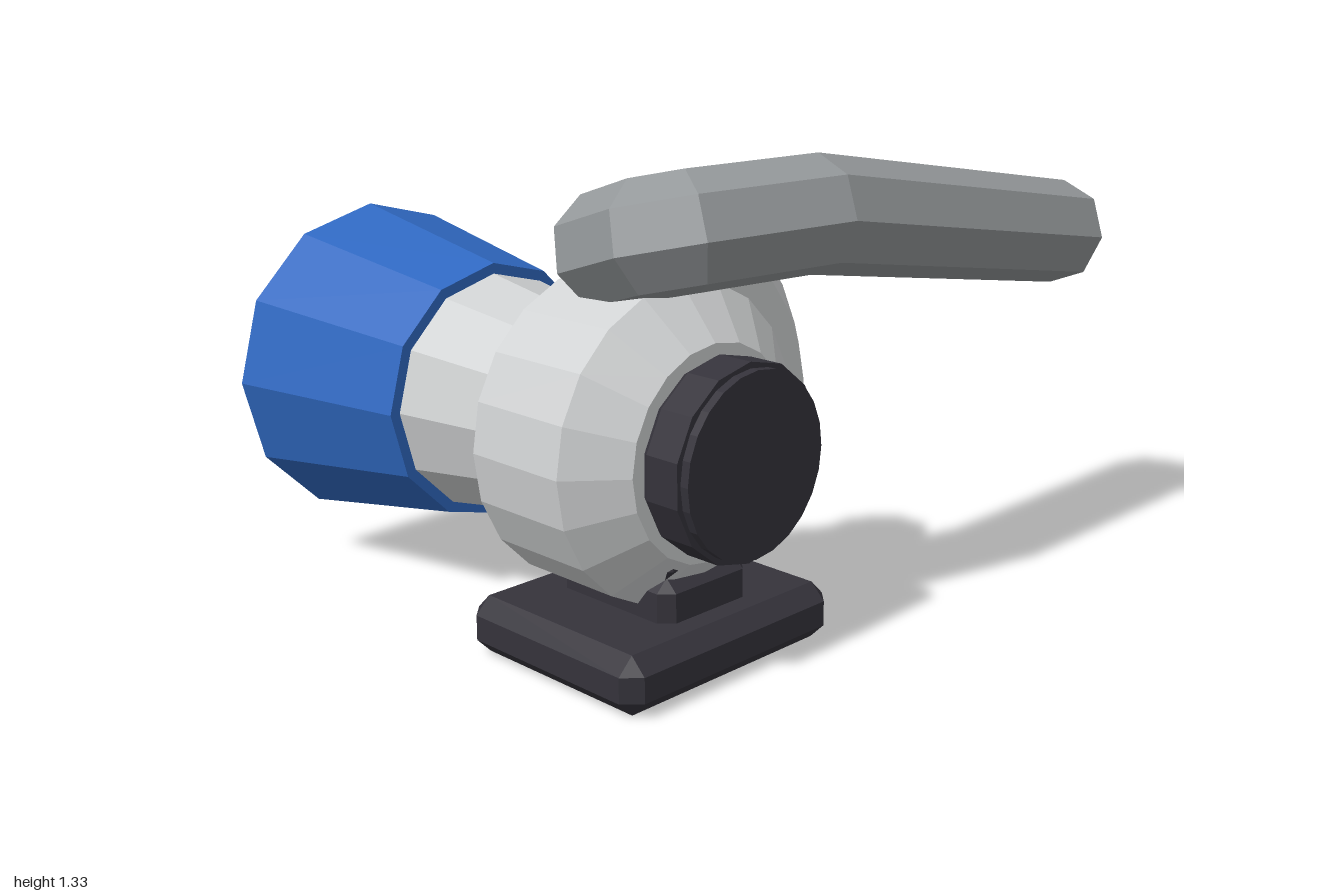
import * as THREE from 'three';
import { ConvexGeometry } from 'three/addons/geometries/ConvexGeometry.js';

const AXIS_X = -0.52, AXIS_Y = 0.59;

function material(name, color) {
  const m = new THREE.MeshStandardMaterial({ color, flatShading: true });
  m.name = name;
  return m;
}

// Turned part along z; profile is [radius, z] pairs from back to front
function turned(profile, sides) {
  const points = profile.map(([r, z]) => new THREE.Vector2(r, z));
  return new THREE.LatheGeometry(points, sides)
    .rotateX(Math.PI / 2)
    .translate(AXIS_X, AXIS_Y, 0);
}

// Box with every edge chamfered
function chamferBox(min, max, c) {
  const points = [];
  for (const x of [0, 1]) for (const y of [0, 1]) for (const z of [0, 1]) {
    const side = [x, y, z];
    for (let full = 0; full < 3; full++) {
      const p = side.map((s, i) => {
        const inset = i === full ? 0 : c;
        return s ? max[i] - inset : min[i] + inset;
      });
      points.push(new THREE.Vector3(...p));
    }
  }
  return new ConvexGeometry(points);
}

// Octagonal tube along a polyline, with mitred joints and closed ends
function mitredTube(path, radius, up, phase) {
  const n = 8, last = path.length - 1;
  const dirs = path.slice(1).map((p, i) => p.clone().sub(path[i]).normalize());
  const u = up.clone().cross(dirs[0]).normalize();
  const v = dirs[0].clone().cross(u);
  let ring = [];
  for (let i = 0; i < n; i++) {
    const a = phase + i / n * Math.PI * 2;
    ring.push(path[0].clone()
      .addScaledVector(u, Math.cos(a) * radius)
      .addScaledVector(v, Math.sin(a) * radius));
  }
  const rings = [ring];
  for (let k = 0; k < last; k++) {
    const d = dirs[k], normal = d.clone().add(dirs[Math.min(k + 1, last - 1)]).normalize();
    ring = ring.map(p => {
      const t = path[k + 1].clone().sub(p).dot(normal) / d.dot(normal);
      return p.clone().addScaledVector(d, t);
    });
    rings.push(ring);
  }
  const pos = [], index = [];
  rings.forEach(r => r.forEach(p => pos.push(p.x, p.y, p.z)));
  for (let k = 0; k < last; k++) for (let i = 0; i < n; i++) {
    const a = k * n + i, b = k * n + (i + 1) % n;
    index.push(a, b, b + n, a, b + n, a + n);
  }
  const e = last * n;
  for (let i = 1; i < n - 1; i++) {
    index.push(0, i + 1, i);
    index.push(e, e + i, e + i + 1);
  }
  const g = new THREE.BufferGeometry();
  g.setAttribute('position', new THREE.Float32BufferAttribute(pos, 3));
  g.setIndex(index);
  g.computeVertexNormals();
  return g;
}

export function createModel() {
  const group = new THREE.Group();
  const lightGrey = material('light metal', 0xd0d2d3);
  const grey = material('pipe metal', 0x94989a);
  const blue = material('blue', 0x3069c2);
  const dark = material('dark metal', 0x35333b);

  const add = (name, geometry, mat) => {
    const mesh = new THREE.Mesh(geometry, mat);
    mesh.name = name;
    group.add(mesh);
  };

  // Intake cone and its neck
  add('intakeFilter', turned([[0, -0.83], [0.48, -0.83], [0.375, -0.24], [0, -0.24]], 12), blue);
  add('intakeNeck', turned([[0, -0.245], [0.345, -0.245], [0.29, 0.085], [0, 0.085]], 12), lightGrey);

  // Compressor housing
  add('housing', turned([
    [0, 0.08], [0.3, 0.08], [0.43, 0.19], [0.43, 0.51], [0.29, 0.63], [0, 0.63],
  ], 20), lightGrey);

  // Scroll swept around the housing, widening slightly toward the top
  const scroll = [];
  for (let i = 0; i <= 9; i++) {
    const a = THREE.MathUtils.degToRad(-15 + i * 12.3);
    const r = 0.43 + 0.052 * i / 9;
    scroll.push(new THREE.Vector3(AXIS_X + r * Math.cos(a), AXIS_Y + r * Math.sin(a), 0.347));
  }
  add('scroll', mitredTube(scroll, 0.163, new THREE.Vector3(0, 0, 1), Math.PI / 8), lightGrey);

  // Outlet pipe, from its free end back to the scroll
  const pipe = [
    [0.972, 0.982, 0.667], [-0.19, 1.172, 0.667], [-0.55, 1.16, 0.575],
    [-0.62, 1.14, 0.49], [-0.59, 1.08, 0.3],
  ].map(p => new THREE.Vector3(...p));
  add('outletPipe', mitredTube(pipe, 0.158, new THREE.Vector3(0, 1, 0), 0), grey);

  // Front cap
  add('capRing', turned([[0, 0.61], [0.245, 0.61], [0.264, 0.645], [0.264, 0.75], [0, 0.75]], 14), dark);
  add('capDisc', turned([[0, 0.74], [0.247, 0.74], [0.247, 0.775], [0, 0.775]], 24), dark);

  // Stand
  add('base', chamferBox([-0.905, 0, 0.08], [-0.137, 0.16, 0.72], 0.045), dark);
  add('lowerBracket', chamferBox([-0.68, 0.12, 0.2], [-0.36, 0.275, 0.615], 0.035), dark);
  add('upperBracket', chamferBox([-0.68, 0.27, 0.3], [-0.36, 0.375, 0.61], 0.03), dark);

  return group;
}
